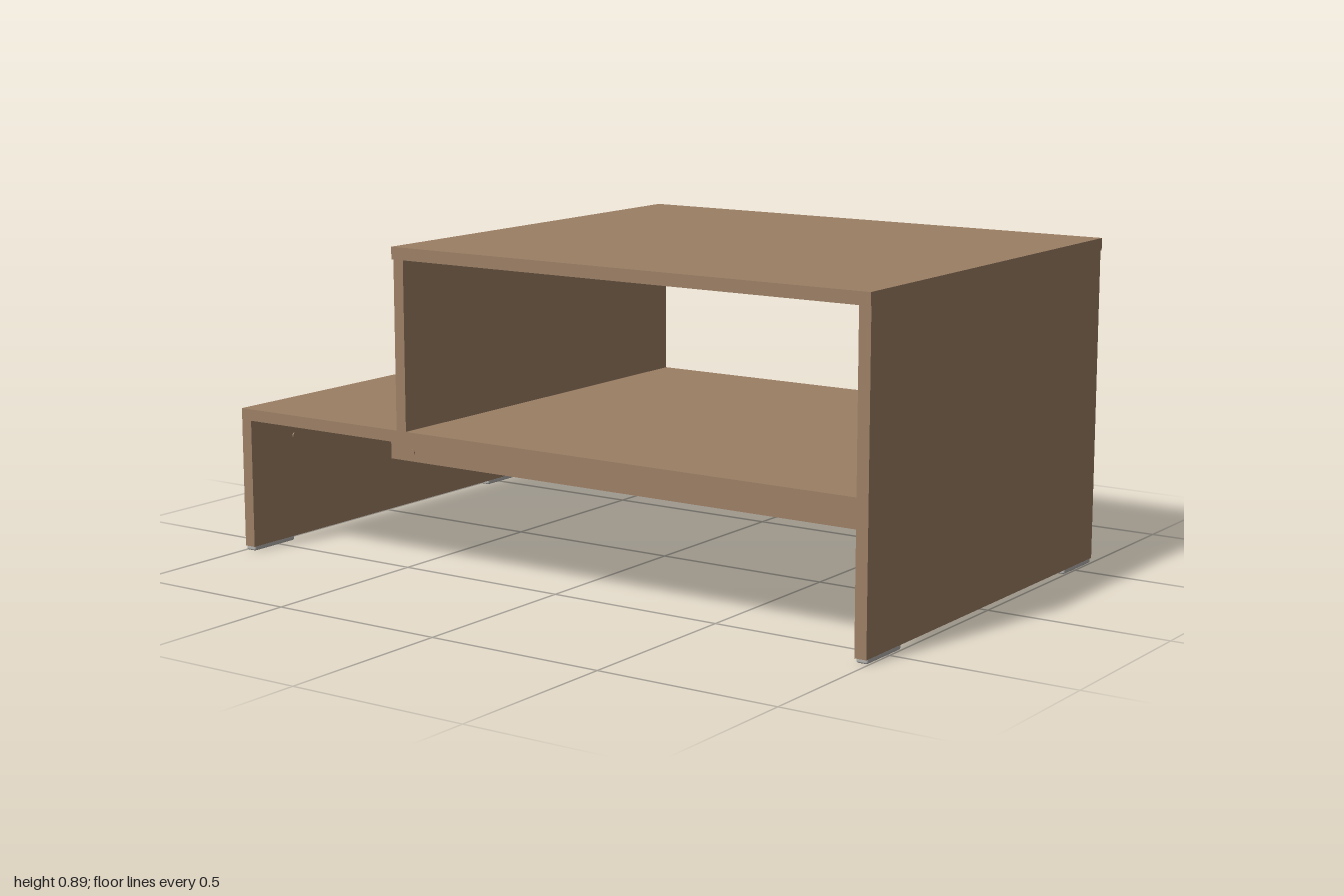
import * as THREE from 'three';
import { RoundedBoxGeometry } from 'three/addons/geometries/RoundedBoxGeometry.js';

export function createModel() {
  const model = new THREE.Group();
  model.name = 'steppedShelfTable';

  const wood = new THREE.MeshStandardMaterial({ color: 0x9c7f65 });
  wood.name = 'wood';
  const plastic = new THREE.MeshStandardMaterial({ color: 0xb4b2ae });
  plastic.name = 'footPlastic';

  const add = (name, geometry, material, x, y, z) => {
    const mesh = new THREE.Mesh(geometry, material);
    mesh.name = name;
    mesh.position.set(x, y, z);
    model.add(mesh);
    return mesh;
  };

  // A flat board given by its lower and upper limits on each axis
  const board = (name, [x0, x1], [y0, y1], [z0, z1]) =>
    add(name, new THREE.BoxGeometry(x1 - x0, y1 - y0, z1 - z0), wood,
      (x0 + x1) / 2, (y0 + y1) / 2, (z0 + z1) / 2);

  // Boards
  board('topBoard', [-0.443, 0.998], [0.857, 0.89], [-0.61, 0.61]);
  board('tallSidePanel', [0.964, 0.997], [0.012, 0.857], [-0.605, 0.605]);
  board('lowerShelf', [-1, 0.964], [0.369, 0.401], [-0.602, 0.602]);
  board('lowSidePanel', [-1, -0.967], [0.012, 0.369], [-0.602, 0.602]);
  board('upperDivider', [-0.443, -0.411], [0.401, 0.857], [-0.602, 0.602]);
  board('centreStretcher', [-0.967, 0.964], [0.162, 0.369], [-0.016, 0.016]);

  // Glides under the four panel corners
  for (const x of [-0.983, 0.981]) {
    for (const z of [-0.52, 0.52]) {
      add('footGlide', new RoundedBoxGeometry(0.032, 0.016, 0.16, 2, 0.005), plastic, x, 0.008, z);
    }
  }

  // Small screw caps on the stretcher and the low panel
  const cap = new THREE.CylinderGeometry(0.008, 0.008, 0.004, 12);
  for (const side of [-1, 1]) {
    add('stretcherScrewCap', cap, wood, side * 0.885, 0.19, 0.017).rotation.x = Math.PI / 2;
    add('panelScrewCap', cap, wood, -0.966, 0.3, side * 0.43).rotation.z = Math.PI / 2;
  }

  return model;
}
